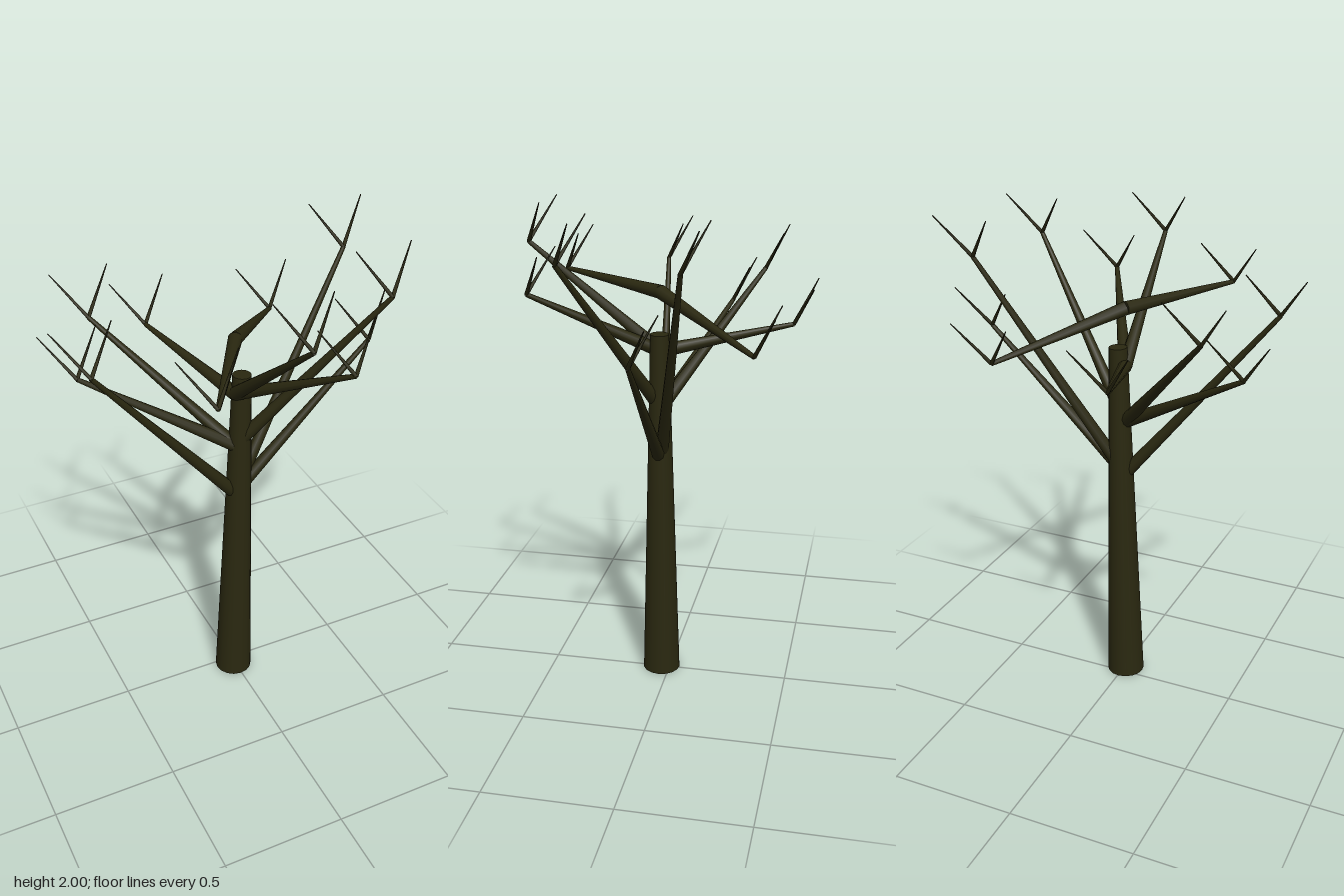
import * as THREE from 'three';

const bark = new THREE.MeshStandardMaterial({ color: 0x2a2810 });
bark.name = 'dark bark';

// Tapered round limb between two points
function limb(name, from, to, r0, r1, sides) {
  const dir = to.clone().sub(from);
  const geo = new THREE.CylinderGeometry(r1, r0, dir.length(), sides);
  const mesh = new THREE.Mesh(geo, bark);
  mesh.name = name;
  mesh.position.copy(from).addScaledVector(dir, 0.5);
  mesh.quaternion.setFromUnitVectors(new THREE.Vector3(0, 1, 0), dir.normalize());
  return mesh;
}

export function createModel() {
  const tree = new THREE.Group();
  tree.name = 'bareTree';
  const V = (x, y, z) => new THREE.Vector3(x, y, z);

  // Slightly leaning trunk
  tree.add(limb('trunk', V(-0.006, 0.005, 0.035), V(0.03, 1.49, 0.033), 0.078, 0.037, 16));

  // Branch tips (x, z) for each level; tip heights repeat within a level
  const tipHeights = [1.508, 1.672, 1.836];
  const levels = [
    { y: 0.95, tips: [[0.59, 0.027], [-0.593, 0.12], [0.556, -0.15]] },
    { y: 1.18, tips: [[-0.556, -0.17], [-0.445, -0.32], [0.497, 0.305]] },
    { y: 1.415, tips: [[-0.16, -0.47], [0.245, 0.495], [0.045, 0.543]] },
    { y: 1.65, tips: [[0.357, -0.38], [-0.28, 0.487]] },
  ];
  for (const { y, tips } of levels) {
    tips.forEach(([x, z], i) => {
      const tip = V(x, tipHeights[i], z);
      const branch = new THREE.Group();
      branch.name = 'branch';
      branch.add(limb('branchLimb', V(0, y, 0.035), tip, 0.028, 0.009, 10));
      // Forked twigs at the tip
      for (const side of [-1, 1]) {
        const end = tip.clone().add(V(0.115 * side, 0.164, -0.083));
        branch.add(limb('twig', tip, end, 0.008, 0.002, 6));
      }
      tree.add(branch);
    });
  }
  return tree;
}
